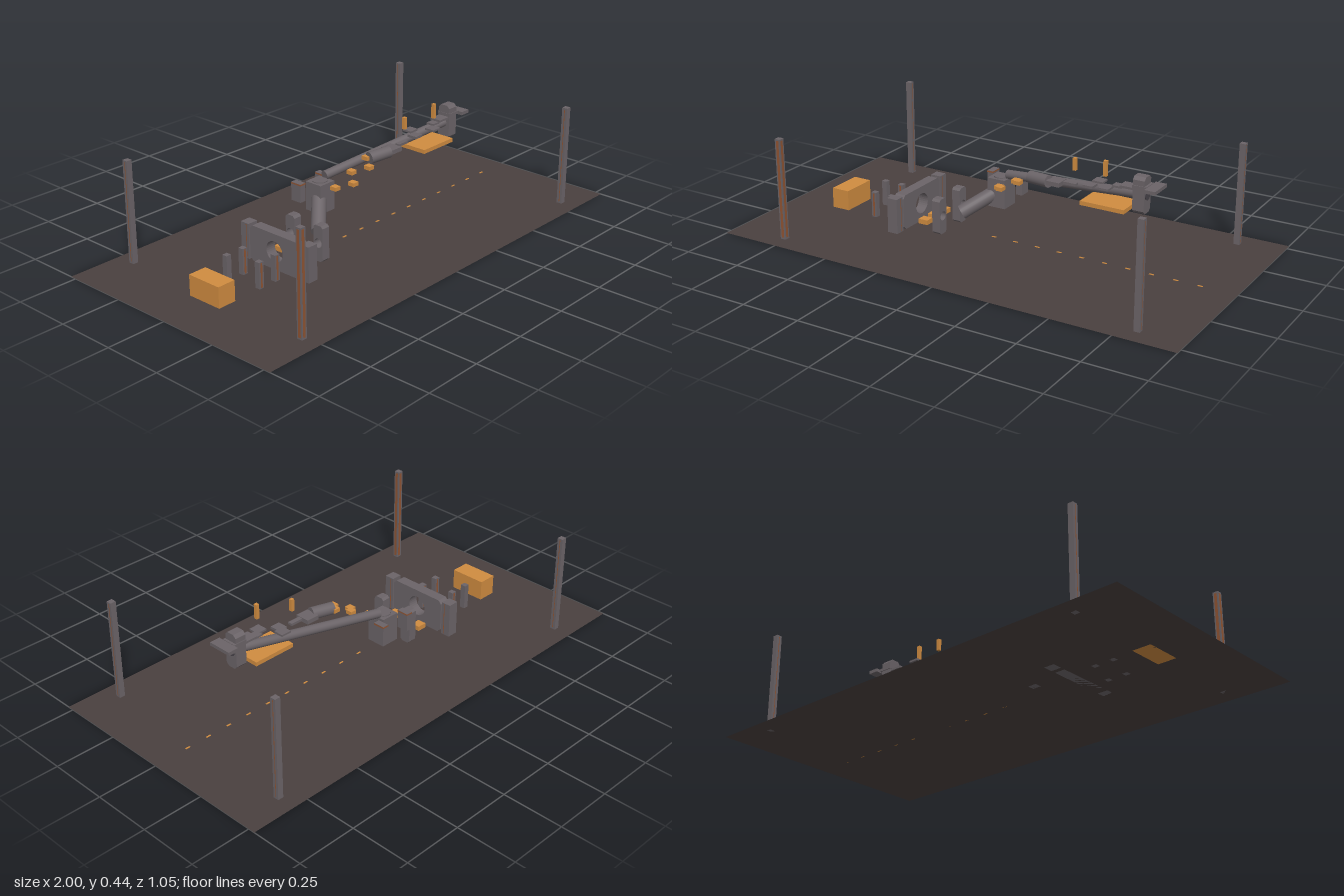
import * as THREE from 'three';

const mat = (name, color, side = THREE.FrontSide) => {
  const m = new THREE.MeshStandardMaterial({ color, side });
  m.name = name;
  return m;
};

export function createModel() {
  const root = new THREE.Group();
  root.name = 'obstacleCourse';
  const grey = mat('steelGrey', 0x6b6468);
  const orange = mat('amber', 0xd08c40);
  const ground = mat('groundBrown', 0x4a403f, THREE.DoubleSide);
  const rust = mat('rustStripe', 0x8f5433);
  const dark = mat('darkSteel', 0x48434a);

  const add = (name, geo, m, x = 0, y = 0, z = 0) => {
    const mesh = new THREE.Mesh(geo, m);
    mesh.name = name;
    mesh.position.set(x, y, z);
    root.add(mesh);
    return mesh;
  };
  const box = (name, m, w, h, d, x, y, z) => add(name, new THREE.BoxGeometry(w, h, d), m, x, y, z);
  // Cylinder running between two points
  const rod = (name, m, a, b, r) => {
    const p = new THREE.Vector3(...a), q = new THREE.Vector3(...b);
    const dir = q.clone().sub(p);
    const mesh = add(name, new THREE.CylinderGeometry(r, r, dir.length(), 24), m);
    mesh.position.copy(p).add(q).multiplyScalar(0.5);
    mesh.quaternion.setFromUnitVectors(new THREE.Vector3(0, 1, 0), dir.normalize());
    return mesh;
  };
  // Upright slab facing x, with cut corners and an optional round hole
  const slab = (name, m, x, z, y, depth, width, height, cut, holeY, holeR) => {
    const w = width / 2, h = height;
    const s = new THREE.Shape([
      [-w + cut, 0], [w - cut, 0], [w, cut], [w, h - cut],
      [w - cut, h], [-w + cut, h], [-w, h - cut], [-w, cut],
    ].map(([u, v]) => new THREE.Vector2(u, v)));
    if (holeR) {
      const hole = new THREE.Path();
      hole.absarc(0, holeY, holeR, 0, Math.PI * 2, true);
      s.holes.push(hole);
    }
    const g = new THREE.ExtrudeGeometry(s, { depth, bevelEnabled: false, curveSegments: 16 });
    g.translate(0, 0, -depth / 2).rotateY(Math.PI / 2);
    return add(name, g, m, x, y, z);
  };

  // Ground sheet and its dotted centre line
  add('ground', new THREE.PlaneGeometry(2, 1.055).rotateX(-Math.PI / 2), ground);
  for (let i = 0; i < 10; i++) box('centreLineDash', orange, 0.02, 0.002, 0.006, -0.05 + i * 0.1, 0.001, 0);

  // Corner pillars with narrow stripes
  for (const x of [-0.763, 0.813]) for (const z of [-0.447, 0.447]) {
    box('cornerPillar', grey, 0.024, 0.424, 0.024, x, 0.212, z);
    const w = x < 0 && z > 0 ? 0.012 : 0.003;
    box('pillarStripe', rust, 0.0245, 0.41, w, x, 0.212, z);
    if (x < 0 && z > 0) box('pillarStripe', rust, w, 0.41, 0.0245, x, 0.212, z);
  }

  // Starting crate and staggered slats
  box('crate', orange, 0.08, 0.086, 0.155, -0.765, 0.043, -0.002);
  [-0.63, -0.59, -0.548, -0.507].forEach((x, i) => {
    const z = i % 2 ? 0.065 : -0.065;
    const zz = i === 0 || i === 2 ? -0.065 : z;
    box('slat', grey, 0.023, 0.108, 0.023, x, 0.054, zz);
    if (i > 0) box('slatStripe', rust, 0.008, 0.1, 0.0245, x, 0.054, zz);
  });

  // Gate: pierced wall between two posts
  slab('gateWall', grey, -0.423, 0, 0, 0.045, 0.262, 0.148, 0.014, 0.074, 0.043);
  for (const s of [-1, 1]) {
    box('gatePost', grey, 0.046, 0.148, 0.042, -0.423, 0.074, s * 0.158);
    box('gatePostStripe', rust, 0.047, 0.14, 0.003, -0.423, 0.074, s * 0.15);
    slab('piercedPost', grey, -0.265, s * 0.074, 0, 0.037, 0.048, 0.15, 0.009, 0.076, 0.019);
  }

  // Stepping blocks between gate and posts
  for (const z of [-0.067, 0, 0.067]) box('stepBlock', orange, 0.042, 0.02, 0.038, -0.338, 0.034, z);

  // Rising tube, elbow block and side plates
  rod('risingTube', grey, [-0.205, 0.076, 0.002], [-0.085, 0.165, -0.105], 0.03);
  box('elbowBlock', grey, 0.08, 0.122, 0.08, -0.08, 0.161, -0.104);
  rod('elbowCap', grey, [-0.08, 0.2, -0.105], [-0.08, 0.226, -0.105], 0.03);
  for (const x of [-0.15, -0.013]) {
    box('sidePlate', grey, 0.028, 0.078, 0.05, x, 0.184, -0.157);
    box('sidePlateCap', rust, 0.0285, 0.006, 0.051, x, 0.219, -0.157);
  }

  // Long beam up to the head
  rod('longBeam', grey, [-0.05, 0.235, -0.108], [0.6, 0.318, 0], 0.019);

  // Climbing steps
  [[-0.055, 0.2, -0.045], [-0.013, 0.222, 0.012], [0.03, 0.246, -0.035],
    [0.073, 0.268, 0.02], [0.11, 0.286, -0.025]].forEach(([x, y, z]) =>
    box('climbStep', orange, 0.028, 0.016, 0.03, x, y, z));

  // Short drum followed by a chain of thin plates
  rod('drum', grey, [0.11, 0.287, -0.012], [0.205, 0.293, 0.01], 0.025);
  [[0.232, 0.294, 0, 0.058, 0.018, 0.062], [0.295, 0.301, 0.002, 0.055, 0.01, 0.02],
    [0.38, 0.31, 0.002, 0.042, 0.01, 0.045], [0.4, 0.319, -0.04, 0.045, 0.008, 0.042],
    [0.46, 0.325, 0.03, 0.045, 0.008, 0.045], [0.5, 0.332, 0, 0.04, 0.008, 0.035],
    [0.545, 0.34, 0, 0.06, 0.009, 0.05]].forEach(([x, y, z, w, h, d]) =>
    box('chainPlate', grey, w, h, d, x, y, z));

  // Landing tray and floating markers
  box('landingTray', orange, 0.186, 0.017, 0.124, 0.462, 0.256, 0);
  box('marker', orange, 0.014, 0.05, 0.014, 0.313, 0.383, 0);
  box('marker', orange, 0.014, 0.062, 0.014, 0.46, 0.404, 0.033);

  // Head plate with end cap and cross ledge
  slab('headPlate', grey, 0.596, 0, 0.246, 0.048, 0.056, 0.146, 0.012);
  rod('beamEndCap', dark, [0.615, 0.318, 0], [0.623, 0.318, 0], 0.02);
  box('sideBlock', grey, 0.06, 0.012, 0.062, 0.6, 0.353, 0);
  box('crossLedge', grey, 0.045, 0.014, 0.102, 0.652, 0.35, 0);
  return root;
}
